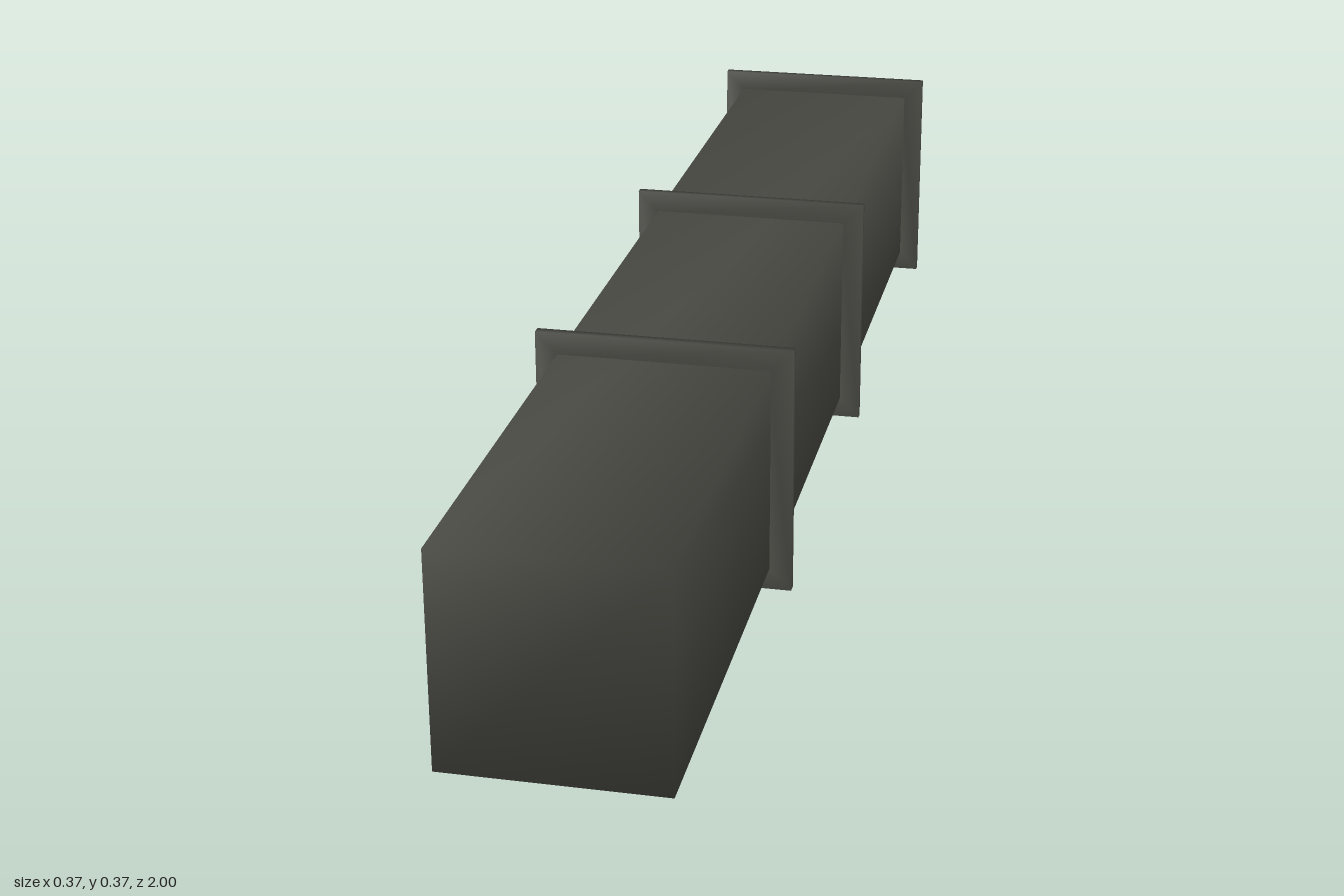
import * as THREE from 'three';

const CENTER_Y = 0.185;

// Sweeps square rings along z. Each profile point is [half width, z], ordered
// front to back on the outside. Shared corners give soft shading over the edges.
function squareSweep(profile, closed) {
  const positions = [];
  const index = [];
  const corners = [[1, 1], [-1, 1], [-1, -1], [1, -1]];
  for (const [half, z] of profile) {
    for (const [sx, sy] of corners) positions.push(sx * half, CENTER_Y + sy * half, z);
  }
  const n = profile.length;
  const bands = closed ? n : n - 1;
  for (let i = 0; i < bands; i++) {
    const next = (i + 1) % n;
    for (let j = 0; j < 4; j++) {
      const k = (j + 1) % 4;
      const a = i * 4 + j, b = i * 4 + k, c = next * 4 + j, d = next * 4 + k;
      index.push(a, c, b, b, c, d);
    }
  }
  if (!closed) {
    const l = (n - 1) * 4;
    index.push(0, 1, 2, 0, 2, 3);
    index.push(l + 2, l + 1, l, l + 3, l + 2, l);
  }
  const geometry = new THREE.BufferGeometry();
  geometry.setAttribute('position', new THREE.Float32BufferAttribute(positions, 3));
  geometry.setIndex(index);
  geometry.computeVertexNormals();
  return geometry;
}

export function createModel() {
  const group = new THREE.Group();
  const metal = new THREE.MeshStandardMaterial({ color: 0x4b4b45 });
  metal.name = 'dark grey metal';

  const add = (name, geometry) => {
    const mesh = new THREE.Mesh(geometry, metal);
    mesh.name = name;
    group.add(mesh);
    return mesh;
  };

  // Square duct: closed at the front, hollow and open at the back
  add('duct', squareSweep([[0.153, 1], [0.153, -0.995], [0.14, -0.995], [0.14, 0.98]], false));

  // Flanges around the duct
  const flanges = [
    ['frontFlange', 0.369, 0.007],
    ['middleFlange', -0.265, 0.006],
    ['backFlange', -0.993, 0.007],
  ];
  for (const [name, z, t] of flanges) {
    add(name, squareSweep([[0.15, z + t], [0.185, z + t], [0.185, z - t], [0.15, z - t]], true));
  }

  // Thin access plate under the duct
  const plate = add('accessPlate', new THREE.BoxGeometry(0.185, 0.008, 0.355));
  plate.position.set(0, 0.029, 0.0525);

  return group;
}
